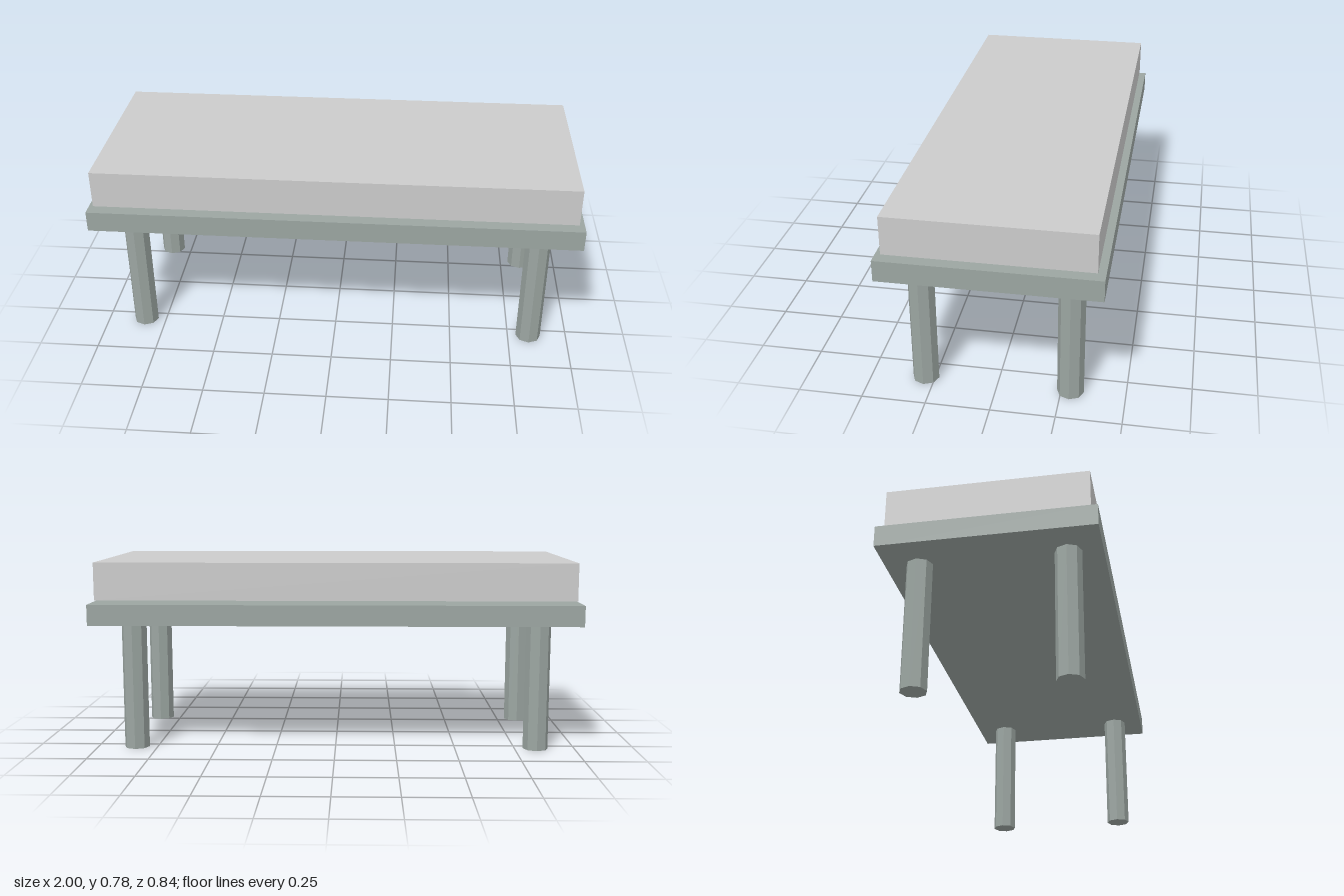
import * as THREE from 'three';

export function createModel() {
  const model = new THREE.Group();
  model.name = 'bench';

  const cushionMaterial = new THREE.MeshStandardMaterial({ color: 0xcccccc, flatShading: true });
  const frameMaterial = new THREE.MeshStandardMaterial({ color: 0x9ba5a1, flatShading: true });

  function add(name, geometry, material, x, y, z) {
    const mesh = new THREE.Mesh(geometry, material);
    mesh.name = name;
    mesh.position.set(x, y, z);
    model.add(mesh);
  }

  // A box centred on x and z, between two heights
  function addSlab(name, width, depth, bottom, top, material) {
    const geometry = new THREE.BoxGeometry(width, top - bottom, depth);
    add(name, geometry, material, 0, (bottom + top) / 2, 0);
  }

  // Seat frame, with the cushion held just above it
  const frameBottom = 0.53;
  addSlab('seatFrame', 2, 0.836, frameBottom, 0.615, frameMaterial);
  addSlab('cushion', 1.95, 0.78, 0.63, 0.783, cushionMaterial);

  // Four eight-sided legs
  const legGeometry = new THREE.CylinderGeometry(0.052, 0.052, frameBottom, 8);
  for (const [xName, x] of [['Left', 0.837], ['Right', -0.837]]) {
    for (const [zName, z] of [['front', 0.286], ['back', -0.286]]) {
      add(`${zName}${xName}Leg`, legGeometry, frameMaterial, x, frameBottom / 2, z);
    }
  }

  return model;
}
